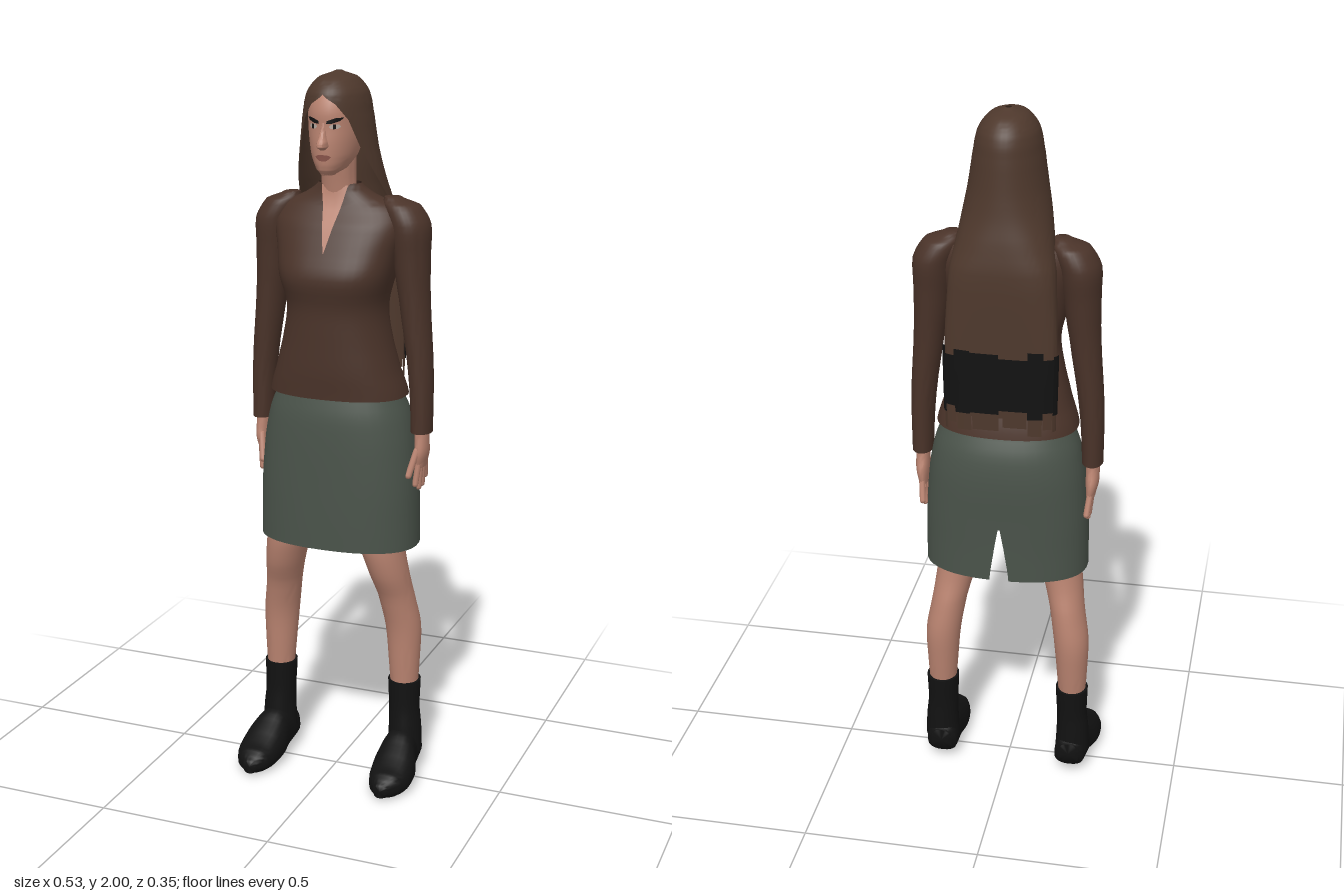
import * as THREE from 'three';
import { mergeVertices, toCreasedNormals } from 'three/addons/utils/BufferGeometryUtils.js';

const mat = (name, color, side = THREE.FrontSide) => {
  const m = new THREE.MeshStandardMaterial({ color, side });
  m.name = name;
  return m;
};

// Cross-section: [y, centreX, centreZ, halfWidth, frontDepth, backDepth, gapAngle, power]
const smooth = (rings, steps = 4) => {
  const full = rings.map(r => [...r, ...[0, 0, 0, 0, 0, 0, 0, 1].slice(r.length)]);
  const out = [];
  for (let i = 0; i < full.length - 1; i++) {
    const [a, b, c, d] = [i - 1, i, i + 1, i + 2].map(k => full[THREE.MathUtils.clamp(k, 0, full.length - 1)]);
    for (let s = 0; s < steps; s++) {
      const t = s / steps;
      out.push(b.map((v, k) => {
        if (k === 0) return v + (c[0] - v) * t;
        const m0 = (c[k] - a[k]) / 2, m1 = (d[k] - v) / 2, u = t * t, w = u * t;
        const q = (2 * w - 3 * u + 1) * v + (w - 2 * u + t) * m0 + (3 * u - 2 * w) * c[k] + (w - u) * m1;
        return k > 2 ? Math.max(q, 0) : q;
      }));
    }
  }
  out.push(full[full.length - 1]);
  return out;
};

const ringAt = (rings, y) => {
  let i = 0;
  while (i < rings.length - 2 && rings[i + 1][0] < y) i++;
  const a = rings[i], b = rings[i + 1], t = (y - a[0]) / (b[0] - a[0]);
  return a.map((v, k) => v + (b[k] - v) * t);
};

const ringPoint = ([y, cx, cz, rx, f, b, , p], angle, grow = 0) => {
  const c = Math.cos(angle), s = Math.sin(angle);
  const bend = v => Math.sign(v) * Math.pow(Math.abs(v), p);
  return [cx + (rx + grow) * bend(c), y, cz + ((s > 0 ? f : b) + grow) * bend(s)];
};

// Grid of points, rows upward and columns turning from +x to +z, with optional end caps
const grid = (rows, capped = false) => {
  const n = rows[0].length, pos = rows.flat(2), index = [];
  for (let r = 0; r < rows.length - 1; r++) for (let j = 0; j < n - 1; j++) {
    const a = r * n + j, b = a + n;
    index.push(a, b, a + 1, a + 1, b, b + 1);
  }
  if (capped) [0, rows.length - 1].forEach((r, top) => {
    const mid = [0, 1, 2].map(k => rows[r].slice(0, -1).reduce((s, p) => s + p[k], 0) / (n - 1));
    const c = pos.length / 3;
    pos.push(...mid);
    for (let j = 0; j < n - 1; j++) index.push(c, r * n + j + (top ? 1 : 0), r * n + j + (top ? 0 : 1));
  });
  const g = new THREE.BufferGeometry();
  g.setAttribute('position', new THREE.Float32BufferAttribute(pos, 3));
  g.setIndex(index);
  return toCreasedNormals(mergeVertices(g, 1e-5), 1.1);
};

// Skin through smoothed rings; the gap, if any, is centred on the seam angle
const loft = (rings, { capped = true, seam = -Math.PI / 2, n = 28 } = {}) =>
  grid(rings.map(r => Array.from({ length: n + 1 }, (_, j) =>
    ringPoint(r, seam + r[6] + (2 * Math.PI - 2 * r[6]) * j / n))), capped);

// Piece of a skin, raised slightly above it
const patch = (rings, y0, y1, a0, a1, grow) =>
  grid([0, 1, 2, 3, 4].map(i => [0, 1, 2, 3].map(j =>
    ringPoint(ringAt(rings, y0 + (y1 - y0) * i / 4), a0 + (a1 - a0) * j / 3, grow))));

// Flat detail laid on the front of a skin: outline rows of [y, xRight, xLeft]
const frontPlate = (rings, outline, lift) => grid(outline.map(([y, x0, x1]) => {
  const r = ringAt(rings, y);
  return Array.from({ length: 7 }, (_, j) => {
    const x = x1 + (x0 - x1) * j / 6;
    const c = THREE.MathUtils.clamp((x - r[1]) / r[3], -0.99, 0.99);
    const angle = Math.acos(Math.sign(c) * Math.pow(Math.abs(c), 1 / r[7]));
    return [x, y, ringPoint(r, angle)[2] + lift];
  });
}));

export function createModel() {
  const root = new THREE.Group();
  root.name = 'standingWoman';
  const skin = mat('skin', 0xb98370, THREE.DoubleSide), cloth = mat('brown blouse', 0x4a3329, THREE.DoubleSide);
  const hairMat = mat('brown hair', 0x4e382c, THREE.DoubleSide), green = mat('grey green skirt', 0x4a534a, THREE.DoubleSide);
  const black = mat('black', 0x121212, THREE.DoubleSide), lip = mat('lips', 0x8a554b, THREE.DoubleSide);
  const white = mat('eye white', 0xb8aaa0, THREE.DoubleSide);
  const add = (name, geometry, material) => {
    const m = new THREE.Mesh(geometry, material);
    m.name = name;
    root.add(m);
    return m;
  };

  // Skirt with a slit at the back
  add('skirt', loft(smooth([
    [0.70, 0, -0.033, 0.23, 0.138, 0.138, 0.08, 0.85], [0.78, 0, -0.033, 0.229, 0.138, 0.138, 0.045, 0.85],
    [0.88, 0, -0.033, 0.226, 0.137, 0.14, 0, 0.85], [1.0, 0, -0.033, 0.216, 0.135, 0.143, 0, 0.88],
    [1.08, 0, -0.033, 0.2, 0.13, 0.133, 0, 0.9], [1.16, 0, -0.03, 0.17, 0.11, 0.105, 0, 0.9],
  ]), { capped: false, n: 40 }), green);

  // Blouse with an open neckline
  const blouse = smooth([
    [1.13, 0, -0.025, 0.195, 0.125, 0.128, 0, 0.85], [1.2, 0, -0.02, 0.174, 0.125, 0.112, 0, 0.85],
    [1.3, 0, -0.02, 0.15, 0.125, 0.085, 0, 0.85], [1.38, 0, -0.02, 0.14, 0.126, 0.085, 0, 0.82],
    [1.46, 0, -0.02, 0.157, 0.14, 0.09, 0, 0.75], [1.53, 0, -0.025, 0.17, 0.118, 0.095, 0, 0.78],
    [1.6, 0, -0.035, 0.185, 0.095, 0.085, 0, 0.85], [1.645, 0, -0.04, 0.165, 0.07, 0.07, 0, 0.9],
    [1.675, 0, -0.035, 0.1, 0.055, 0.055], [1.705, 0, -0.03, 0.06, 0.045, 0.045],
  ]);
  add('blouse', loft(blouse, { capped: false, n: 40 }), cloth);
  add('necklineSkin', frontPlate(blouse, Array.from({ length: 9 }, (_, i) =>
    [1.53 + 0.0215 * i, 0.001 + 0.0046 * i, -0.001 - 0.0046 * i]), 0.004), skin);

  // Neck, head and nose
  add('neck', loft(smooth([[1.62, 0, -0.03, 0.055, 0.045, 0.045], [1.7, 0, -0.02, 0.047, 0.045, 0.045],
    [1.79, 0, -0.01, 0.05, 0.05, 0.05]])), skin);
  const head = smooth([
    [1.735, 0, 0.06, 0.018, 0.022, 0.03], [1.75, 0, 0.03, 0.038, 0.062, 0.05], [1.78, 0, 0.01, 0.056, 0.086, 0.08],
    [1.82, 0, 0, 0.066, 0.097, 0.1], [1.86, 0, 0, 0.07, 0.094, 0.11], [1.9, 0, 0, 0.07, 0.094, 0.11],
    [1.94, 0, -0.005, 0.062, 0.084, 0.095], [1.97, 0, -0.01, 0.04, 0.055, 0.06],
  ]);
  add('head', loft(head), skin);
  add('nose', loft(smooth([[1.803, 0, 0.092, 0.007, 0.014, 0.02], [1.812, 0, 0.09, 0.016, 0.034, 0.02],
    [1.84, 0, 0.086, 0.01, 0.023, 0.02], [1.872, 0, 0.085, 0.007, 0.011, 0.02]]), { n: 12 }), skin);

  // Facial details
  add('mouth', frontPlate(head, [[1.774, 0.009, -0.009], [1.78, 0.018, -0.018], [1.785, 0.022, -0.022],
    [1.79, 0.012, -0.012]], 0.003), lip);
  for (const s of [1, -1]) {
    const span = (y, a, b) => s > 0 ? [y, b, a] : [y, -a, -b];
    const side = s > 0 ? 'left' : 'right';
    add(side + 'Eye', frontPlate(head, [span(1.857, 0.022, 0.036), span(1.863, 0.016, 0.044), span(1.869, 0.023, 0.04)], 0.002), white);
    add(side + 'Iris', frontPlate(head, [span(1.857, 0.027, 0.034), span(1.869, 0.027, 0.034)], 0.004), black);
    add(side + 'Brow', frontPlate(head, [span(1.871, 0.01, 0.024), span(1.878, 0.012, 0.043), span(1.886, 0.035, 0.05)], 0.004), black);
  }

  // Long hair, open around the face and falling down the back
  const hair = smooth([
    [1.2, 0, -0.135, 0.148, 0.03, 0.03, 1.6, 0.7], [1.4, 0, -0.13, 0.15, 0.03, 0.039, 1.6, 0.7],
    [1.6, 0, -0.1, 0.14, 0.06, 0.072, 1.55, 0.75], [1.68, 0, -0.055, 0.126, 0.075, 0.105, 1.45, 0.85],
    [1.74, 0, -0.03, 0.116, 0.085, 0.117, 1.2, 0.95], [1.8, 0, -0.018, 0.105, 0.1, 0.12, 0.97],
    [1.88, 0, -0.015, 0.093, 0.112, 0.115, 0.72], [1.92, 0, -0.015, 0.086, 0.114, 0.11, 0.4],
    [1.945, 0, -0.015, 0.079, 0.11, 0.102, 0], [1.965, 0, -0.015, 0.067, 0.096, 0.088, 0],
    [1.985, 0, -0.015, 0.047, 0.07, 0.062, 0], [2.0, 0, -0.018, 0.008, 0.01, 0.01, 0],
  ]);
  add('hair', loft(hair, { capped: false, seam: Math.PI / 2, n: 40 }), hairMat);

  // Dark strands and uneven hair tips
  const strands = 8, from = Math.PI * 1.02, width = Math.PI * 0.96 / strands;
  for (let i = 0; i < strands; i++) {
    const a = from + i * width, jag = 0.012 * Math.sin(i * 2.4);
    add('darkStrand', patch(hair, 1.215 + jag, 1.385 - jag, a, a + width, 0.005), black);
    add('hairTip', patch(hair, 1.165 + jag, 1.215, a, a + width * 0.94, 0.002), hairMat);
  }

  for (const s of [1, -1]) {
    const side = s > 0 ? 'left' : 'right';
    const limb = rings => smooth(rings.map(([y, x, ...rest]) => [y, s * x, ...rest]));

    // Sleeve
    add(side + 'Sleeve', loft(limb([
      [1.03, 0.237, -0.04, 0.029, 0.04, 0.042], [1.2, 0.231, -0.042, 0.034, 0.043, 0.045],
      [1.4, 0.21, -0.045, 0.042, 0.052, 0.052], [1.52, 0.2, -0.045, 0.05, 0.06, 0.062],
      [1.6, 0.193, -0.045, 0.056, 0.066, 0.07], [1.65, 0.17, -0.045, 0.05, 0.053, 0.055],
      [1.672, 0.145, -0.042, 0.022, 0.025, 0.025],
    ])), cloth);

    // Hand with spread fingers and thumb
    add(side + 'Palm', loft(limb([
      [0.93, 0.235, -0.045, 0.012, 0.034, 0.037], [0.97, 0.238, -0.043, 0.018, 0.04, 0.04],
      [1.01, 0.238, -0.04, 0.019, 0.03, 0.03], [1.06, 0.237, -0.04, 0.02, 0.025, 0.026],
    ]), { n: 16 }), skin);
    const digit = (name, p, q, r) => {
      const a = new THREE.Vector3(s * p[0], p[1], p[2]), b = new THREE.Vector3(s * q[0], q[1], q[2]);
      const m = add(name, new THREE.CapsuleGeometry(r, a.distanceTo(b), 3, 8), skin);
      m.position.copy(a).lerp(b, 0.5);
      m.quaternion.setFromUnitVectors(new THREE.Vector3(0, 1, 0), b.sub(a).normalize());
    };
    for (let i = 0; i < 4; i++)
      digit(side + 'Finger', [0.236, 0.945, -0.018 - 0.018 * i],
        [0.23, [0.885, 0.87, 0.872, 0.89][i], -0.01 - 0.028 * i], 0.0085);
    digit(side + 'Thumb', [0.232, 0.98, -0.012], [0.218, 0.915, 0.014], 0.0095);

    // Bare leg
    add(side + 'Leg', loft(limb([
      [0.24, 0.193, -0.045, 0.038, 0.04, 0.04], [0.34, 0.192, -0.045, 0.044, 0.045, 0.05],
      [0.45, 0.188, -0.045, 0.05, 0.053, 0.058], [0.55, 0.172, -0.025, 0.05, 0.056, 0.066],
      [0.62, 0.158, -0.005, 0.055, 0.066, 0.068], [0.7, 0.14, 0.005, 0.063, 0.073, 0.072],
      [0.85, 0.118, -0.01, 0.078, 0.085, 0.085], [1.0, 0.1, -0.025, 0.085, 0.09, 0.09],
    ])), skin);

    // Boot shaft and foot
    add(side + 'BootShaft', loft(limb([
      [0.07, 0.197, -0.045, 0.05, 0.055, 0.048], [0.14, 0.197, -0.045, 0.047, 0.05, 0.047],
      [0.2, 0.194, -0.045, 0.044, 0.045, 0.046], [0.285, 0.193, -0.046, 0.047, 0.047, 0.05],
    ])), black);
    add(side + 'BootFoot', loft(limb([
      [-0.098, 0.192, -0.07, 0.03, 0.03, 0.04, 0, 0.8], [-0.08, 0.193, -0.06, 0.044, 0.034, 0.06, 0, 0.8],
      [0, 0.197, -0.055, 0.05, 0.042, 0.085, 0, 0.8], [0.05, 0.202, -0.045, 0.061, 0.039, 0.07, 0, 0.8],
      [0.11, 0.205, -0.036, 0.059, 0.035, 0.046, 0, 0.8], [0.15, 0.204, -0.033, 0.044, 0.03, 0.035, 0, 0.8],
      [0.178, 0.201, -0.03, 0.018, 0.02, 0.018, 0, 0.8],
    ])).rotateX(Math.PI / 2), black);
  }
  return root;
}
